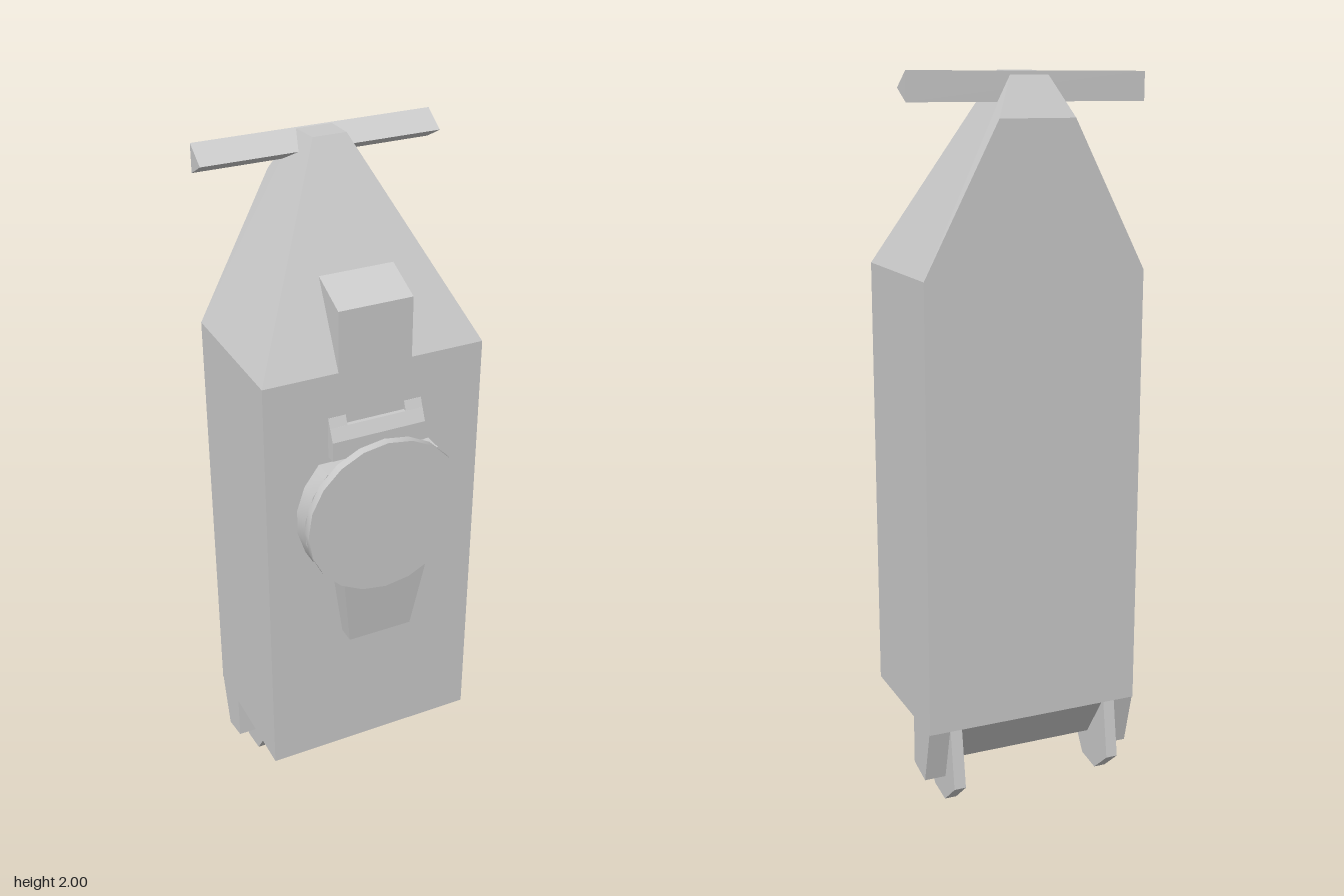
import * as THREE from 'three';
import { ConvexGeometry } from 'three/addons/geometries/ConvexGeometry.js';
import { toCreasedNormals } from 'three/addons/utils/BufferGeometryUtils.js';

export function createModel() {
  const model = new THREE.Group();
  const flat = new THREE.MeshStandardMaterial({ color: 0xcccccc, flatShading: true });
  const smooth = new THREE.MeshStandardMaterial({ color: 0xcccccc });

  const add = (name, geometry, material = flat) => {
    const mesh = new THREE.Mesh(geometry, material);
    mesh.name = name;
    model.add(mesh);
    return mesh;
  };
  const toShape = (points) => new THREE.Shape(points.map(([a, b]) => new THREE.Vector2(a, b)));

  // Side profile of [z, y] points, swept from x0 to x1
  const prism = (profile, x0, x1) =>
    new THREE.ExtrudeGeometry(toShape(profile), { depth: x1 - x0, bevelEnabled: false })
      .rotateY(-Math.PI / 2)
      .translate(x1, 0, 0);

  // Convex solid from [half width, y, z] corners mirrored across x
  const mirroredHull = (corners) =>
    new ConvexGeometry(corners.flatMap(([x, y, z]) => [
      new THREE.Vector3(x, y, z), new THREE.Vector3(-x, y, z),
    ]));

  // Main case and tapered top
  add('body', mirroredHull([
    [0.315, 0.23, 0.185], [0.315, 0.23, -0.24],
    [0.315, 1.48, 0.185], [0.315, 1.48, -0.24],
    [0.047, 2, -0.085], [0.05, 1.995, -0.18], [0.107, 1.88, -0.24],
  ]));

  // Triangular crossbar
  add('crossbar', prism([[-0.12, 1.955], [-0.184, 1.92], [-0.184, 1.997]], -0.335, 0.335));

  // Block on the front slope
  add('frontBlock', prism([[0.185, 1.48], [0.185, 1.65], [0.07, 1.7], [0.04, 1.48]], -0.105, 0.105));

  // Round cap: full front disc over a base with its top cut flat
  const cy = 1.06, radius = 0.23, sides = 20;
  const disc = new THREE.CylinderGeometry(radius, radius, 0.025, sides)
    .rotateX(Math.PI / 2).translate(0, cy, 0.2525);
  add('discCap', toCreasedNormals(disc, 0.6), smooth);

  const arc = [];
  for (let i = 0; i <= 15; i++) {
    const a = Math.PI * (0.75 + (1.5 * i) / 15);
    arc.push([radius * Math.cos(a), cy + radius * Math.sin(a)]);
  }
  const base = new THREE.ExtrudeGeometry(toShape(arc), { depth: 0.06, bevelEnabled: false })
    .translate(0, 0, 0.18);
  add('discBase', toCreasedNormals(base, 0.6), smooth);

  // Tapered tongue below the disc
  add('tongue', mirroredHull([
    [0.125, 0.87, 0.18], [0.125, 0.87, 0.263],
    [0.095, 0.65, 0.18], [0.095, 0.65, 0.235],
  ]));

  // Wedge bracket above the disc, with two raised ends
  add('bracket', prism([[0.18, 1.24], [0.213, 1.24], [0.213, 1.295], [0.197, 1.33], [0.18, 1.33]], -0.135, 0.135));

  for (const side of [-1, 1]) {
    const label = side > 0 ? 'left' : 'right';
    const pair = (name, profile, inner, outer) =>
      add(label + name, prism(profile, Math.min(side * inner, side * outer), Math.max(side * inner, side * outer)));

    pair('BracketEnd', [[0.18, 1.32], [0.201, 1.32], [0.186, 1.355], [0.18, 1.355]], 0.085, 0.135);

    // Lower rear cheek
    pair('Cheek', [[-0.11, 0.24], [-0.11, 0.09], [-0.195, 0.073], [-0.238, 0.24]], 0.25, 0.315);

    // Hooked foot
    pair('Foot', [
      [0.045, 0.235], [-0.02, 0.11], [-0.045, 0.11], [-0.11, 0.01],
      [-0.19, 0], [-0.265, 0.065], [-0.238, 0.235],
    ], 0.22, 0.254);
  }

  // Housing between the feet
  add('lowerHousing', prism([
    [0.044, 0.235], [-0.02, 0.115], [-0.06, 0.11], [-0.14, 0.095], [-0.235, 0.235],
  ], -0.22, 0.22));

  return model;
}
